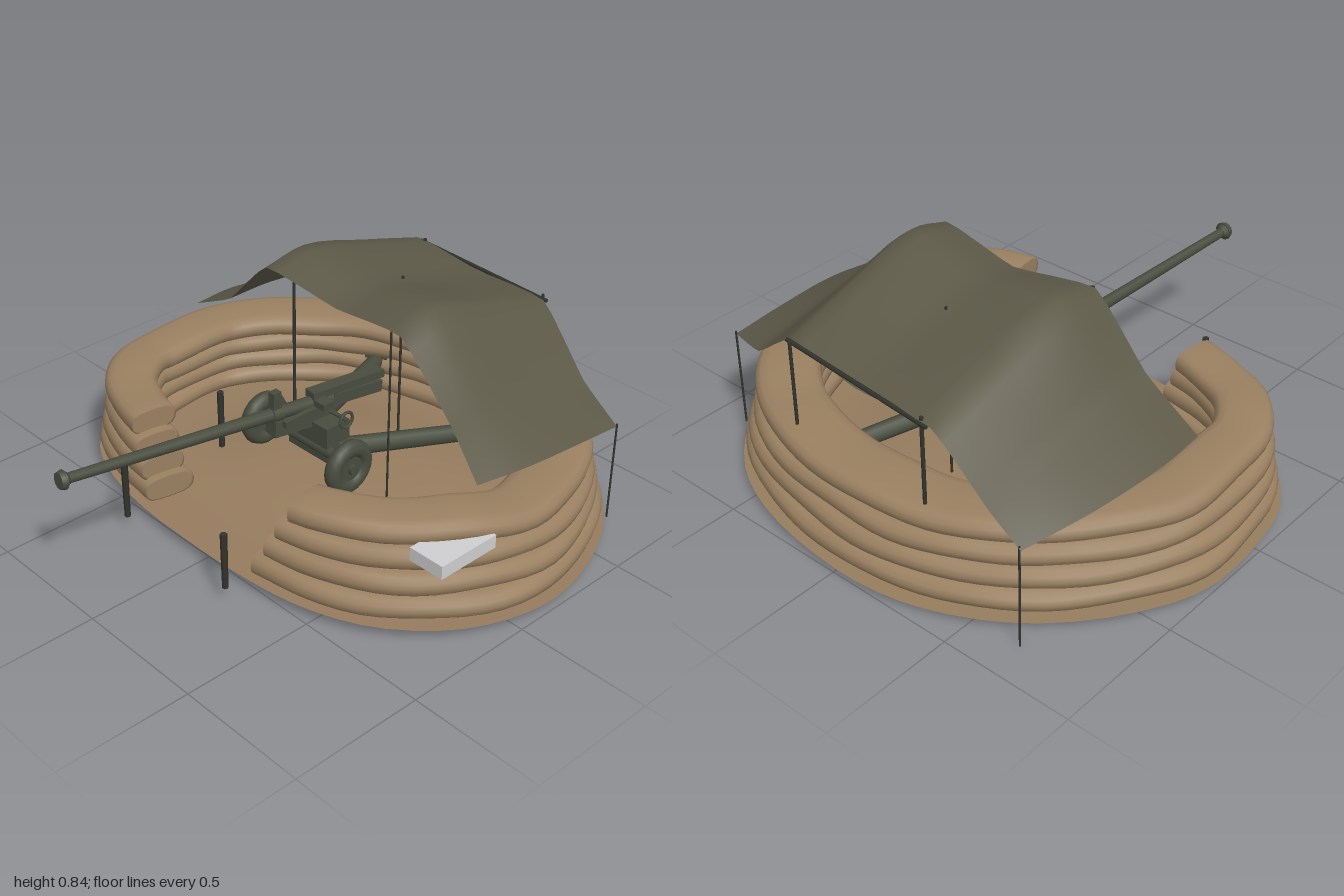
import * as THREE from 'three';

const V = (x, y, z) => new THREE.Vector3(x, y, z);
const { smoothstep, clamp } = THREE.MathUtils;
const mat = (name, color, side = THREE.FrontSide) => {
  const m = new THREE.MeshStandardMaterial({ color, side });
  m.name = name;
  return m;
};

// Outer line of the sandbag wall, from one side of the entrance to the other
const WALL = [
  [-0.52, -0.34], [-0.48, -0.57], [-0.4, -0.77], [-0.21, -0.94], [0.02, -0.995], [0.3, -0.995],
  [0.56, -0.87], [0.79, -0.66], [0.93, -0.42], [0.995, -0.18], [0.995, 0.1], [0.94, 0.4],
  [0.84, 0.62], [0.66, 0.81], [0.44, 0.93], [0.2, 0.99], [0, 0.97], [-0.2, 0.88],
  [-0.38, 0.7], [-0.48, 0.48], [-0.52, 0.24],
];

// Surface over a grid of (i, j) steps
function gridGeometry(nu, nv, point) {
  const pos = [], idx = [];
  for (let i = 0; i <= nu; i++) for (let j = 0; j <= nv; j++) pos.push(...point(i, j).toArray());
  for (let i = 0; i < nu; i++) for (let j = 0; j < nv; j++) {
    const a = i * (nv + 1) + j, b = a + nv + 1;
    idx.push(a, b, b + 1, a, b + 1, a + 1);
  }
  const g = new THREE.BufferGeometry();
  g.setAttribute('position', new THREE.Float32BufferAttribute(pos, 3));
  g.setIndex(idx);
  g.computeVertexNormals();
  return g;
}

export function createModel() {
  const root = new THREE.Group();
  root.name = 'gunEmplacement';
  const sand = mat('sandbagTan', 0x9a8061);
  const earth = mat('floorTan', 0x967c5e, THREE.DoubleSide);
  const canvas = mat('canvasOlive', 0x5c5948, THREE.DoubleSide);
  const gunMat = mat('gunGreen', 0x484c3e);
  const poleMat = mat('poleDark', 0x33342d);
  const pale = mat('paleGrey', 0xcfcfd1);

  const add = (parent, name, geo, material) => {
    const m = new THREE.Mesh(geo, material);
    m.name = name;
    parent.add(m);
    return m;
  };
  const rod = (parent, name, a, b, ra, rb, material, sides = 8) => {
    const d = b.clone().sub(a);
    const m = add(parent, name, new THREE.CylinderGeometry(rb, ra, d.length(), sides), material);
    m.position.copy(a).addScaledVector(d, 0.5);
    m.quaternion.setFromUnitVectors(V(0, 1, 0), d.normalize());
    return m;
  };
  const box = (parent, name, c, s, material, rz = 0, ry = 0) => {
    const m = add(parent, name, new THREE.BoxGeometry(...s), material);
    m.position.set(...c);
    m.rotation.set(0, ry, rz);
    return m;
  };

  // Sandbag wall: four stacked rolls, each shorter and further in than the one below
  const wall = new THREE.Group();
  wall.name = 'sandbagWall';
  root.add(wall);
  const path = new THREE.CatmullRomCurve3(WALL.map(([x, z]) => V(x, 0, z)));
  const N = 76, SIDES = 16;
  for (let k = 0; k < 4; k++) {
    const t0 = 0.006 * k, t1 = 1 - 0.01 * k;
    add(wall, 'sandbagLayer' + (k + 1), gridGeometry(N, SIDES, (i, j) => {
      const e = Math.min(i, N - i);
      const scale = e === 0 ? 0 : e === 1 ? 0.9 : 1;
      const t = t0 + (t1 - t0) * clamp((i - 2) / (N - 4), 0, 1);
      const p = path.getPointAt(t), T = path.getTangentAt(t);
      const w = 0.18 + 0.06 * Math.sin(Math.PI * t) + (k === 0 ? 0.02 : 0);
      const raise = 0.045 * smoothstep(t, 0.76, 0.86) * (k / 3);
      const y = 0.089 + 0.077 * k - 0.012 * p.x + raise + 0.003 * Math.sin(i * 0.9 + k * 2.1);
      const a = -Math.PI / 2 + (j / SIDES) * Math.PI * 2;
      const c = Math.cos(a), h = Math.sin(a);
      // The wall stands upright by the entrance and leans in elsewhere
      const lean = (0.016 + 0.017 * k) * (0.25 + 0.75 * smoothstep(Math.min(t, 1 - t), 0, 0.2))
        + 0.004 * Math.sin(i * 0.6 + k * 1.7);
      const across = w / 2 + lean + Math.sign(c) * Math.abs(c) ** 0.6 * (w / 2) * scale;
      p.addScaledVector(V(-T.z, 0, T.x), across);
      p.y = y + Math.sign(h) * Math.abs(h) ** 0.8 * 0.046 * scale;
      return p;
    }), sand);
  }

  // Floor: flat under the wall, slightly raised in the middle
  const rim = new THREE.CatmullRomCurve3([...WALL, [-0.53, -0.05]].map(([x, z]) => V(x, 0, z)), true);
  add(root, 'floor', gridGeometry(64, 10, (i, j) => {
    const r = 1 - j / 10;
    const p = rim.getPoint((i % 64) / 64);
    const x = 0.2 + (p.x - 0.2) * r, z = p.z * r;
    return V(x, 0.035 - 0.012 * x + 0.07 * smoothstep(1 - r, 0.3, 0.8), z);
  }), earth);

  // Tarpaulin: rows from the front edge to the back edge, each with seven heights
  const rows = [
    { x: [0, 0.05, 0.07, 0.1, 0.08, 0.1, 0.13], y: [0.455, 0.58, 0.8, 0.76, 0.8, 0.58, 0.455], z: [0.77, -0.81] },
    { x: [0.2, 0.22, 0.24, 0.27, 0.26, 0.3, 0.32], y: [0.455, 0.58, 0.84, 0.79, 0.83, 0.58, 0.455], z: [0.81, -0.82] },
    { x: [0.43, 0.49, 0.53, 0.56, 0.57, 0.59, 0.6], y: [0.44, 0.53, 0.755, 0.72, 0.75, 0.54, 0.43], z: [0.82, -0.78] },
    { x: [0.66, 0.74, 0.81, 0.85, 0.86, 0.865, 0.865], y: [0.42, 0.48, 0.67, 0.655, 0.665, 0.48, 0.39], z: [0.82, -0.7] },
  ];
  const zMid = [0.6, 0.34, 0, -0.34, -0.57];
  const rowCurves = rows.map(r => new THREE.CatmullRomCurve3(
    [r.z[0], ...zMid, r.z[1]].map((z, i) => V(r.x[i], r.y[i], z)), false, 'catmullrom', 0.2));
  const cross = Array.from({ length: 25 }, (_, j) =>
    new THREE.CatmullRomCurve3(rowCurves.map(c => c.getPoint(j / 24))));
  add(root, 'tarpaulin', gridGeometry(12, 24, (i, j) => cross[j].getPoint(i / 12)), canvas);

  // Tent poles, back bar and the marker stakes outside the entrance
  const poles = new THREE.Group();
  poles.name = 'poles';
  root.add(poles);
  const uprights = [
    [0.66, 0.82, 0.04, 0.43, 0.004], [0.86, -0.69, 0, 0.4, 0.004], [0.83, 0.32, 0.05, 0.68, 0.006],
    [0.85, -0.29, 0.05, 0.68, 0.007], [0.11, 0.26, 0.06, 0.8, 0.004], [0.14, -0.26, 0.06, 0.8, 0.006],
    [0.44, -0.01, 0.08, 0.765, 0.005],
  ];
  for (const [x, z, y0, y1, r] of uprights) rod(poles, 'tentPole', V(x, y0, z), V(x, y1, z), r, r, poleMat, 6);
  rod(poles, 'backBar', V(0.815, 0.67, 0.35), V(0.86, 0.66, -0.32), 0.008, 0.008, poleMat, 6);
  for (const [x, z, y0, y1] of [[-0.6, -0.33, 0.05, 0.27], [-0.61, 0.22, 0.05, 0.27], [-0.07, -0.44, 0.06, 0.3]])
    rod(poles, 'stake', V(x, y0, z), V(x, y1, z), 0.011, 0.013, poleMat, 6);

  // Pale block set into the wall
  box(root, 'paleBlock', [-0.17, 0.327, 0.83], [0.25, 0.05, 0.14], pale);

  // Field gun
  const gun = new THREE.Group();
  gun.name = 'fieldGun';
  root.add(gun);
  const along = x => V(x, 0.409 - 0.078 * x, -0.025 + 0.1 * x);
  rod(gun, 'barrel', along(0.1), along(-0.97), 0.026, 0.018, gunMat, 12);
  rod(gun, 'muzzleCollar', along(-0.965), along(-0.985), 0.02, 0.035, gunMat, 10);
  rod(gun, 'muzzleBrake', along(-0.98), along(-1), 0.035, 0.03, gunMat, 10);
  rod(gun, 'barrelCollar', along(-0.13), along(-0.17), 0.03, 0.03, gunMat, 10);
  box(gun, 'breech', [0.2, 0.39, -0.01], [0.22, 0.045, 0.06], gunMat, -0.08, -0.1);
  box(gun, 'recoilCover', [0.16, 0.435, -0.01], [0.32, 0.03, 0.05], gunMat, -0.04, -0.1);
  box(gun, 'cradle', [-0.04, 0.36, -0.03], [0.26, 0.06, 0.06], gunMat, -0.08, -0.1);
  box(gun, 'carriage', [0.04, 0.28, -0.02], [0.11, 0.14, 0.2], gunMat);
  box(gun, 'sight', [-0.15, 0.46, -0.04], [0.035, 0.1, 0.03], gunMat);
  box(gun, 'aimingArm', [-0.06, 0.415, 0.03], [0.22, 0.025, 0.02], gunMat);
  box(gun, 'aimingScope', [0, 0.44, 0.05], [0.05, 0.025, 0.05], gunMat);
  rod(gun, 'axle', V(0, 0.25, -0.25), V(0, 0.25, 0.19), 0.022, 0.022, gunMat);
  for (const z of [-0.255, 0.19]) {
    const tyre = add(gun, 'tyre', new THREE.TorusGeometry(0.073, 0.032, 10, 20), gunMat);
    tyre.position.set(-0.015, 0.25, z);
    rod(gun, 'wheelDisc', V(-0.015, 0.25, z - 0.018), V(-0.015, 0.25, z + 0.018), 0.055, 0.055, gunMat, 16);
    rod(gun, 'wheelHub', V(-0.015, 0.25, z - 0.034), V(-0.015, 0.25, z + 0.034), 0.02, 0.02, gunMat);
  }

  // Split trails with spades
  for (const s of [-1, 1]) {
    const end = V(0.68, 0.17, s * 0.34 - 0.03);
    rod(gun, 'trail', V(0.05, 0.24, s * 0.08 - 0.02), end, 0.036, 0.032, gunMat, 10);
    box(gun, 'trailSpade', [end.x, 0.18, end.z], [0.02, 0.11, 0.09], gunMat, 0, -s * 0.5);
  }
  // Elevation hand wheel
  const hand = add(gun, 'handWheel', new THREE.TorusGeometry(0.03, 0.006, 6, 14), gunMat);
  hand.position.set(0.06, 0.37, 0.1);
  rod(gun, 'handWheelShaft', V(0.06, 0.37, 0.02), V(0.06, 0.37, 0.105), 0.008, 0.008, gunMat, 6);
  return root;
}
